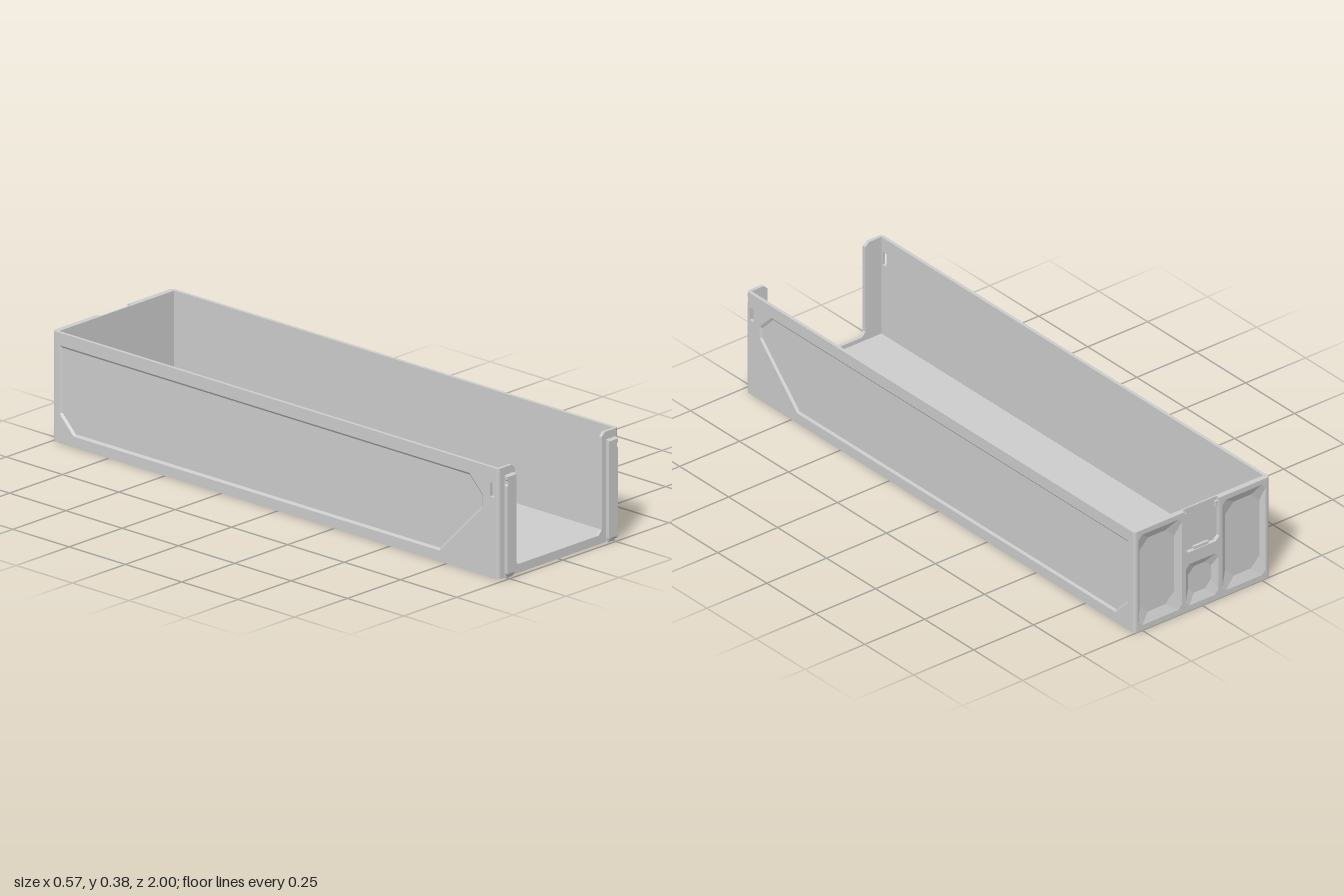
import * as THREE from 'three';

const H = 0.378, W = 0.283, R = 0.012; // height, half width, wall and corner size
const IN = W - R;                      // inner face of the side walls
const grey = new THREE.MeshStandardMaterial({ color: 0xcccccc, side: THREE.DoubleSide });

const path = (pts) => pts.map(([x, y]) => new THREE.Vector2(x, y));
const rect = (x0, y0, x1, y1) => [[x0, y0], [x1, y0], [x1, y1], [x0, y1]];

// Rectangle with its corners cut off
const cutRect = (x0, y0, x1, y1, c) => [
  [x0 + c, y0], [x1 - c, y0], [x1, y0 + c], [x1, y1 - c],
  [x1 - c, y1], [x0 + c, y1], [x0, y1 - c], [x0, y0 + c]];

function plate(outline, holes, depth, z = 0) {
  const shape = new THREE.Shape(path(outline));
  holes.forEach((h) => shape.holes.push(new THREE.Path(path(h))));
  return new THREE.ExtrudeGeometry(shape, { depth, bevelEnabled: false }).translate(0, 0, z);
}

// Band of flat faces joining two outlines at different depths
function band(a, za, b, zb) {
  const pos = [];
  a.forEach((p, i) => {
    const j = (i + 1) % a.length;
    pos.push(...p, za, ...a[j], za, ...b[j], zb, ...p, za, ...b[j], zb, ...b[i], zb);
  });
  const g = new THREE.BufferGeometry();
  g.setAttribute('position', new THREE.Float32BufferAttribute(pos, 3));
  g.computeVertexNormals();
  return g;
}

function add(parent, name, geometry, x = 0, y = 0, z = 0) {
  const m = new THREE.Mesh(geometry, grey);
  m.name = name;
  m.position.set(x, y, z);
  parent.add(m);
  return m;
}

const box = (w, h, d) => new THREE.BoxGeometry(w, h, d);

// Side wall drawn in z,y and turned so that depth runs inward from the outer face
function sideWall() {
  const g = new THREE.Group();
  g.name = 'sideWall';
  const outline = rect(-0.988, 0, 0.968, H);
  const slot = rect(0.943, 0.277, 0.963, 0.325);
  const panel = [[0.72, 0.037], [0.912, 0.23], [0.912, 0.275], [0.853, 0.335],
    [-0.967, 0.335], [-0.967, 0.1], [-0.905, 0.037]];
  const inner = [[0.716, 0.045], [0.904, 0.234], [0.904, 0.271], [0.849, 0.327],
    [-0.959, 0.327], [-0.959, 0.104], [-0.901, 0.045]];
  const d = 0.006;
  add(g, 'sideOuterSkin', plate(outline, [panel, slot], d));
  add(g, 'sideInnerSkin', plate(outline, [slot], R - d, d));
  add(g, 'sidePanelBevel', band(panel, 0, inner, d));
  g.rotation.y = -Math.PI / 2;
  g.position.x = W;
  return g;
}

// Upright rail with a narrow neck, a tapered foot and a notch on its outer edge
function frontRail() {
  const g = new THREE.Group();
  g.name = 'frontRail';
  const w = 0.022, t = 0.355;
  const upper = [[w, 0.318], [w - 0.005, 0.323], [w - 0.005, 0.335], [w, 0.34],
    [w, t], [-w, t]];
  const back = [[-w, 0.018], [-0.013, 0], [0.013, 0], [w, 0.018], ...upper];
  const face = [[-w, 0.018], [-0.013, 0.018], [0.013, 0.018], [w, 0.018],
    ...upper.map(([x, y]) => [x, y === t ? t - 0.005 : y])];
  add(g, 'railBack', new THREE.ShapeGeometry(new THREE.Shape(path(back))), 0, 0, 0.988);
  add(g, 'railEdge', band(back, 0.988, face, 1));
  add(g, 'railFace', new THREE.ShapeGeometry(new THREE.Shape(path(face))), 0, 0, 1);
  add(g, 'railNeck', box(0.028, 0.345, 0.01), 0, 0.1735, 0.984);
  g.position.x = 0.2395;
  return g;
}

function backWall() {
  const g = new THREE.Group();
  g.name = 'backWall';
  const d = 0.014, s = 0.072;
  // Back skin with an open slot at the top centre
  const outline = [[-IN, 0], [IN, 0], [IN, H], [s, H], [s, 0.235], [s - 0.015, 0.22],
    [-s + 0.015, 0.22], [-s, 0.235], [-s, H], [-IN, H]];
  const pockets = [
    [cutRect(0.085, 0.02, 0.265, 0.36, 0.015), cutRect(0.107, 0.052, 0.25, 0.33, 0.035)],
    [cutRect(-0.265, 0.02, -0.085, 0.36, 0.015), cutRect(-0.25, 0.052, -0.107, 0.33, 0.035)],
    [cutRect(-0.068, 0.02, 0.068, 0.175, 0.015), cutRect(-0.048, 0.05, 0.048, 0.15, 0.025)]];
  add(g, 'backOuterSkin', plate(outline, pockets.map((p) => p[0]), d, -1));
  add(g, 'backInnerSkin', plate(rect(-IN, 0, IN, H), [], 0.02 - d, -1 + d));
  pockets.forEach(([o, i]) => add(g, 'pocketSlope', band(o, -1, i, -1 + d)));
  // Catch and guide tabs inside the slot
  add(g, 'slotCatch', box(0.06, 0.012, 0.01), 0, 0.224, -0.991);
  for (const side of [-1, 1]) {
    add(g, 'slotTab', box(0.012, 0.02, 0.008), side * (s - 0.006), 0.355, -0.99);
  }
  return g;
}

export function createModel() {
  const model = new THREE.Group();
  model.name = 'storageTray';

  add(model, 'floor', box(2 * IN, 0.015, 1.95), 0, 0.0075, -0.006);
  model.add(backWall());

  // Front frame with its large opening
  const half = [[0.219, H], [0.205, 0.364], [0.205, 0.046], [0.19, 0.03]];
  const opening = [...half, ...half.map(([x, y]) => [-x, y]).reverse()];
  const frame = [[-IN, H], [-IN, 0], [IN, 0], [IN, H], ...opening];
  add(model, 'frontFrame', plate(frame, [], R, 0.968));

  // Mirrored halves: side wall, front rail and rounded corners
  for (const side of [1, -1]) {
    const half = new THREE.Group();
    half.name = side > 0 ? 'leftSide' : 'rightSide';
    half.add(sideWall(), frontRail());
    const quarter = (start) => new THREE.CylinderGeometry(R, R, H, 6, 1, false, start, Math.PI / 2);
    add(half, 'frontCorner', quarter(0), IN, H / 2, 0.968);
    add(half, 'backCorner', quarter(Math.PI / 2), IN, H / 2, -0.988);
    half.scale.x = side;
    model.add(half);
  }
  return model;
}
